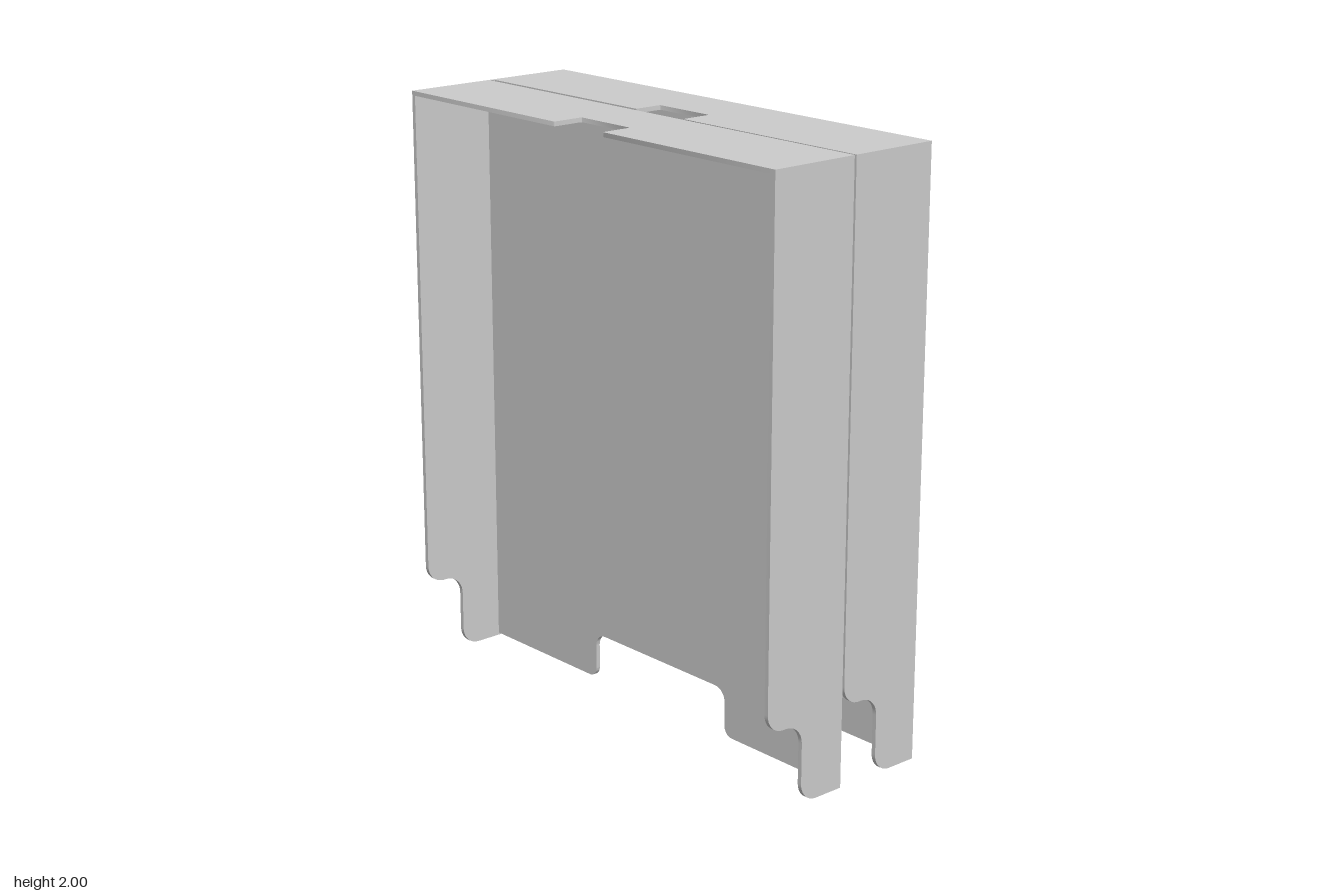
import * as THREE from 'three';
import { toCreasedNormals } from 'three/addons/utils/BufferGeometryUtils.js';

const HALF_W = 0.86, HEIGHT = 2, DEPTH = 0.318, T = 0.015;

// Closed outline from [x, y, radius] corners; corners with a radius are rounded
function outline(corners) {
  const shape = new THREE.Shape();
  const n = corners.length;
  const k = 0.5523;
  corners.forEach(([x, y, r = 0], i) => {
    const c = new THREE.Vector2(x, y);
    const toward = (j, d) => {
      const [px, py] = corners[(j + n) % n];
      return new THREE.Vector2(px, py).sub(c).setLength(d).add(c);
    };
    const a = r ? toward(i - 1, r) : c;
    if (i === 0) shape.moveTo(a.x, a.y);
    else shape.lineTo(a.x, a.y);
    if (r) {
      const b = toward(i + 1, r);
      const h1 = toward(i - 1, r * (1 - k)), h2 = toward(i + 1, r * (1 - k));
      shape.bezierCurveTo(h1.x, h1.y, h2.x, h2.y, b.x, b.y);
    }
  });
  shape.closePath();
  return shape;
}

function sheet(name, corners) {
  const geometry = new THREE.ExtrudeGeometry(outline(corners), {
    depth: T, bevelEnabled: false, curveSegments: 10,
  });
  const mesh = new THREE.Mesh(geometry, new THREE.MeshStandardMaterial({ color: 0xcccccc }));
  mesh.name = name;
  return mesh;
}

// One open tray: rear wall, two stepped side walls and a slotted top.
// Local z runs from 0 at the rear wall to DEPTH at the open front.
function makeShell(name, topCorners, bottom) {
  const shell = new THREE.Group();
  shell.name = name;
  const inner = HALF_W - T;

  // Rear wall with a rounded cut-out at the foot
  const wall = sheet('rearWall', [
    [-inner, bottom], [-0.30, bottom, 0.035], [-0.30, 0.17, 0.045],
    [0.345, 0.17, 0.045], [0.345, bottom, 0.035], [inner, bottom],
    [inner, HEIGHT - T], [-inner, HEIGHT - T],
  ]);
  shell.add(wall);

  // Side walls with an S-shaped step at the lower front corner
  for (const side of [-1, 1]) {
    const wallSide = sheet(side > 0 ? 'leftSide' : 'rightSide', [
      [0, 0], [0.172, 0, 0.065], [0.172, 0.27, 0.07],
      [DEPTH, 0.27, 0.065], [DEPTH, HEIGHT - T], [0, HEIGHT - T],
    ]);
    wallSide.geometry.rotateY(-Math.PI / 2);
    wallSide.position.x = side > 0 ? HALF_W : -HALF_W + T;
    shell.add(wallSide);
  }

  // Top plate
  const top = sheet('topPlate', topCorners);
  top.geometry.rotateX(Math.PI / 2);
  top.position.y = HEIGHT;
  shell.add(top);

  shell.children.forEach((m) => { m.geometry = toCreasedNormals(m.geometry, 0.6); });
  return shell;
}

export function createModel() {
  const model = new THREE.Group();
  model.name = 'doubleTray';
  const notchZ = 0.209;

  // Front tray
  const front = makeShell('frontTray', [
    [-HALF_W, 0], [HALF_W, 0], [HALF_W, DEPTH], [0.11, DEPTH, 0.006],
    [0.11, notchZ, 0.006], [-0.12, notchZ, 0.006], [-0.12, DEPTH, 0.006], [-HALF_W, DEPTH],
  ], 0.008);
  front.position.z = 0.004;

  // Rear tray, its top edge set back slightly on one half
  const rear = makeShell('rearTray', [
    [-HALF_W, 0], [HALF_W, 0], [HALF_W, DEPTH], [0.11, DEPTH, 0.006],
    [0.11, notchZ, 0.006], [-0.12, notchZ, 0.006], [-0.12, DEPTH - 0.008],
    [-HALF_W + T, DEPTH - 0.008], [-HALF_W + T, DEPTH], [-HALF_W, DEPTH],
  ], 0);
  rear.position.z = -0.322;

  model.add(front, rear);
  return model;
}
